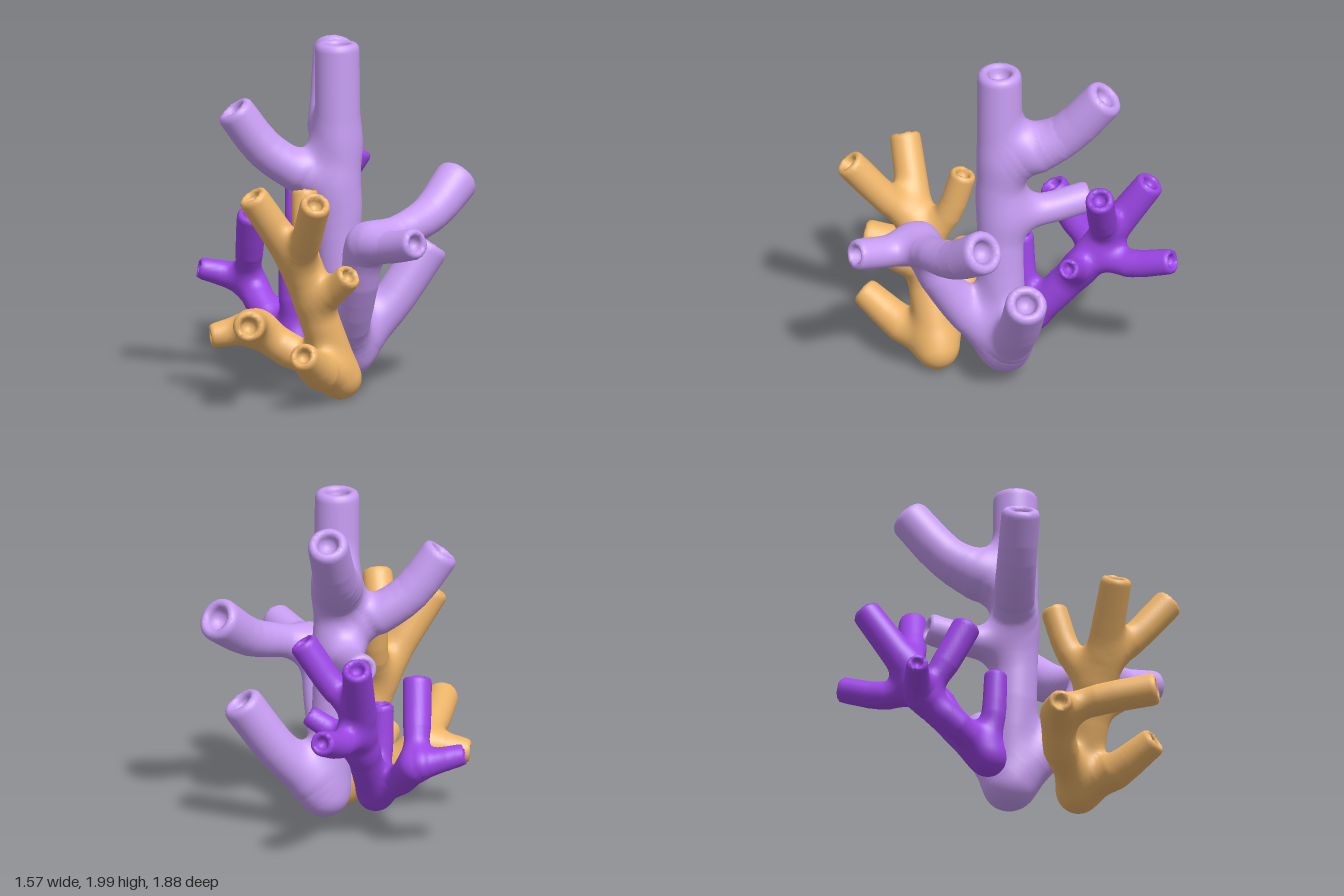
import * as THREE from 'three';

// Smooth blends of two distances: union and intersection
const smin = (a, b, k) => {
  const h = Math.max(k - Math.abs(a - b), 0) / k;
  return Math.min(a, b) - h * h * k * 0.25;
};
const smax = (a, b, k) => -smin(-a, -b, k);

// Distance from (x, y, z) to a segment with radius r0 at a and r1 at b
function segment(x, y, z, a, b, r0, r1) {
  const dx = b.x - a.x, dy = b.y - a.y, dz = b.z - a.z;
  const px = x - a.x, py = y - a.y, pz = z - a.z;
  let t = (px * dx + py * dy + pz * dz) / (dx * dx + dy * dy + dz * dz);
  t = Math.min(1, Math.max(0, t));
  return Math.hypot(px - t * dx, py - t * dy, pz - t * dz) - (r0 + (r1 - r0) * t);
}

// A branch: a curved tube through points [x, y, z, radius], cut flat at the tip with a cup in it
function makeBranch(list) {
  const curve = new THREE.CatmullRomCurve3(list.map(p => new THREE.Vector3(p[0], p[1], p[2])));
  const n = (list.length - 1) * 3;
  const pts = [], radii = [];
  for (let i = 0; i <= n; i++) {
    pts.push(curve.getPoint(i / n));
    const j = Math.min(Math.floor(i / 3), list.length - 2);
    radii.push(THREE.MathUtils.lerp(list[j][3], list[j + 1][3], i / 3 - j));
  }
  const tip = pts[n], r = radii[n], dir = curve.getTangent(1);
  const cupIn = tip.clone().addScaledVector(dir, -0.25 * r);
  const cupOut = tip.clone().addScaledVector(dir, r);
  return (x, y, z) => {
    let d = Infinity;
    for (let i = 0; i < n; i++) {
      d = Math.min(d, segment(x, y, z, pts[i], pts[i + 1], radii[i], radii[i + 1]));
    }
    const cut = (x - tip.x) * dir.x + (y - tip.y) * dir.y + (z - tip.z) * dir.z;
    d = smax(d, cut, 0.4 * r);
    return smax(d, -segment(x, y, z, cupIn, cupOut, 0.5 * r, 0.68 * r), 0.25 * r);
  };
}

// Skin the blended branches with one smooth closed surface (surface nets)
function skin(field, box, cell) {
  const min = box.min.toArray();
  const dim = box.getSize(new THREE.Vector3()).toArray().map(s => Math.ceil(s / cell) + 1);
  const step = [1, dim[0], dim[0] * dim[1]];
  const value = new Float32Array(dim[0] * dim[1] * dim[2]);
  const each = (lo, hi, fn) => {
    for (let k = lo; k < dim[2] - hi; k++)
      for (let j = lo; j < dim[1] - hi; j++)
        for (let i = lo; i < dim[0] - hi; i++) fn(i, j, k, i + j * step[1] + k * step[2]);
  };
  each(0, 0, (i, j, k, id) => {
    value[id] = field(min[0] + i * cell, min[1] + j * cell, min[2] + k * cell);
  });

  // One vertex in every cell that the surface crosses
  const vertex = new Int32Array(value.length).fill(-1);
  const position = [], normal = [], index = [];
  const corner = c => (c & 1) * step[0] + ((c >> 1) & 1) * step[1] + ((c >> 2) & 1) * step[2];
  const offsets = [0, 1, 2, 3, 4, 5, 6, 7].map(corner);
  each(0, 1, (i, j, k, id) => {
    const sum = [0, 0, 0];
    let count = 0;
    for (let c = 0; c < 8; c++) {
      for (let axis = 0; axis < 3; axis++) {
        if (c & (1 << axis)) continue;
        const a = value[id + offsets[c]], b = value[id + offsets[c] + step[axis]];
        if ((a < 0) === (b < 0)) continue;
        for (let m = 0; m < 3; m++) sum[m] += m === axis ? a / (a - b) : (c >> m) & 1;
        count++;
      }
    }
    if (!count) return;
    vertex[id] = position.length / 3;
    const [x, y, z] = [i, j, k].map((g, m) => min[m] + (g + sum[m] / count) * cell);
    position.push(x, y, z);
    const e = 0.004;
    normal.push(...new THREE.Vector3(
      field(x + e, y, z) - field(x - e, y, z),
      field(x, y + e, z) - field(x, y - e, z),
      field(x, y, z + e) - field(x, y, z - e)).normalize().toArray());
  });

  // One quad round every grid edge that the surface crosses
  each(1, 1, (i, j, k, id) => {
    for (let axis = 0; axis < 3; axis++) {
      const inside = value[id] < 0;
      if (inside === value[id + step[axis]] < 0) continue;
      const u = step[(axis + 1) % 3], v = step[(axis + 2) % 3];
      const q = [id - u - v, id - v, id, id - u].map(c => vertex[c]);
      if (!inside) q.reverse();
      index.push(q[0], q[1], q[2], q[0], q[2], q[3]);
    }
  });

  const geometry = new THREE.BufferGeometry();
  geometry.setAttribute('position', new THREE.Float32BufferAttribute(position, 3));
  geometry.setAttribute('normal', new THREE.Float32BufferAttribute(normal, 3));
  geometry.setIndex(index);
  return geometry;
}

function makeCoral(name, color, blend, branches) {
  const fields = branches.map(makeBranch);
  const field = (x, y, z) => fields.reduce((d, f) => smin(d, f(x, y, z), blend), 10);
  const box = new THREE.Box3();
  branches.flat().forEach(p => box.expandByPoint(new THREE.Vector3(p[0], p[1], p[2])));
  box.expandByScalar(0.22);
  const mesh = new THREE.Mesh(skin(field, box, 0.02), new THREE.MeshStandardMaterial({ color }));
  mesh.name = name;
  return mesh;
}

export function createModel() {
  const group = new THREE.Group();
  group.name = 'coralCluster';

  group.add(makeCoral('tallLavenderCoral', 0xc89ef4, 0.14, [
    // trunk
    [[0.115, 0.2, 0.015, 0.122], [0.06, 0.7, 0.035, 0.13], [0.05, 1.3, 0.04, 0.13], [0.045, 2, 0.04, 0.127]],
    // low left branch
    [[0.16, 0.22, 0.01, 0.08], [0.24, 0.31, 0, 0.115], [0.41, 0.5, -0.01, 0.118], [0.625, 0.8, -0.015, 0.12]],
    // front branch and its side arm
    [[0.1, 0.22, 0.07, 0.075], [0.07, 0.4, 0.23, 0.1], [0.055, 0.68, 0.4, 0.11],
      [0.055, 0.9, 0.51, 0.11], [0.13, 0.92, 0.69, 0.092], [0.225, 0.975, 0.91, 0.09]],
    [[0.09, 0.93, 0.51, 0.08], [0.26, 0.97, 0.49, 0.095], [0.48, 1.04, 0.385, 0.11], [0.71, 1.22, 0.235, 0.13]],
    // upper right branch
    [[-0.02, 1.17, 0.02, 0.08], [-0.18, 1.26, -0.02, 0.117], [-0.36, 1.39, -0.05, 0.113], [-0.545, 1.635, -0.07, 0.11]],
    // upper back branch
    [[0.06, 1.42, -0.03, 0.1], [0.09, 1.49, -0.16, 0.145], [0.14, 1.6, -0.33, 0.122], [0.23, 1.885, -0.55, 0.116]],
    // middle back stub
    [[0.04, 1.05, -0.02, 0.09], [0.03, 1.04, -0.2, 0.09], [0.01, 1.09, -0.49, 0.09]],
  ]));

  group.add(makeCoral('orangeCoral', 0xeeb56a, 0.1, [
    // stem
    [[-0.05, 0.125, 0.38, 0.115], [-0.19, 0.48, 0.41, 0.113], [-0.29, 0.74, 0.44, 0.11],
      [-0.42, 0.94, 0.455, 0.095], [-0.62, 1.23, 0.47, 0.088]],
    // upper front and upper back branches
    [[-0.32, 0.82, 0.46, 0.07], [-0.34, 0.96, 0.61, 0.085], [-0.36, 1.235, 0.845, 0.088]],
    [[-0.27, 0.72, 0.41, 0.07], [-0.23, 0.9, 0.29, 0.075], [-0.205, 1.19, 0.2, 0.076]],
    // small front stub
    [[-0.23, 0.6, 0.44, 0.06], [-0.16, 0.65, 0.54, 0.075], [-0.093, 0.775, 0.67, 0.077]],
    // low front branch
    [[-0.08, 0.14, 0.4, 0.08], [-0.23, 0.195, 0.55, 0.105], [-0.41, 0.34, 0.75, 0.082]],
    // low side branch, forked
    [[-0.1, 0.17, 0.35, 0.07], [-0.3, 0.27, 0.22, 0.1], [-0.5, 0.39, 0.16, 0.095], [-0.745, 0.36, 0.11, 0.067]],
    [[-0.48, 0.42, 0.18, 0.08], [-0.585, 0.465, 0.37, 0.09], [-0.71, 0.515, 0.69, 0.092]],
  ]));

  group.add(makeCoral('purpleCoral', 0x9d46e6, 0.085, [
    // stem
    [[-0.13, 0.24, -0.16, 0.098], [-0.035, 0.5, -0.36, 0.096], [0.04, 0.72, -0.5, 0.108],
      [0.06, 0.9, -0.62, 0.095], [0.12, 1.215, -0.825, 0.083]],
    // upper left branch
    [[0.06, 0.87, -0.57, 0.06], [0.18, 1, -0.53, 0.08], [0.365, 1.285, -0.48, 0.083]],
    // back and side stubs
    [[0.06, 0.73, -0.53, 0.07], [0.18, 0.72, -0.68, 0.08], [0.345, 0.81, -0.91, 0.073]],
    [[0, 0.6, -0.42, 0.06], [0.13, 0.68, -0.38, 0.07], [0.295, 0.79, -0.31, 0.06]],
    // low branch with a bent fork
    [[-0.14, 0.26, -0.19, 0.07], [-0.235, 0.38, -0.37, 0.086], [-0.275, 0.53, -0.59, 0.095],
      [-0.39, 0.57, -0.64, 0.075], [-0.545, 0.61, -0.675, 0.06]],
    [[-0.28, 0.54, -0.57, 0.06], [-0.31, 0.72, -0.46, 0.08], [-0.34, 0.975, -0.33, 0.084]],
    // upright stub
    [[-0.14, 0.28, -0.17, 0.06], [-0.17, 0.5, -0.14, 0.07], [-0.18, 0.765, -0.13, 0.066]],
  ]));

  return group;
}
